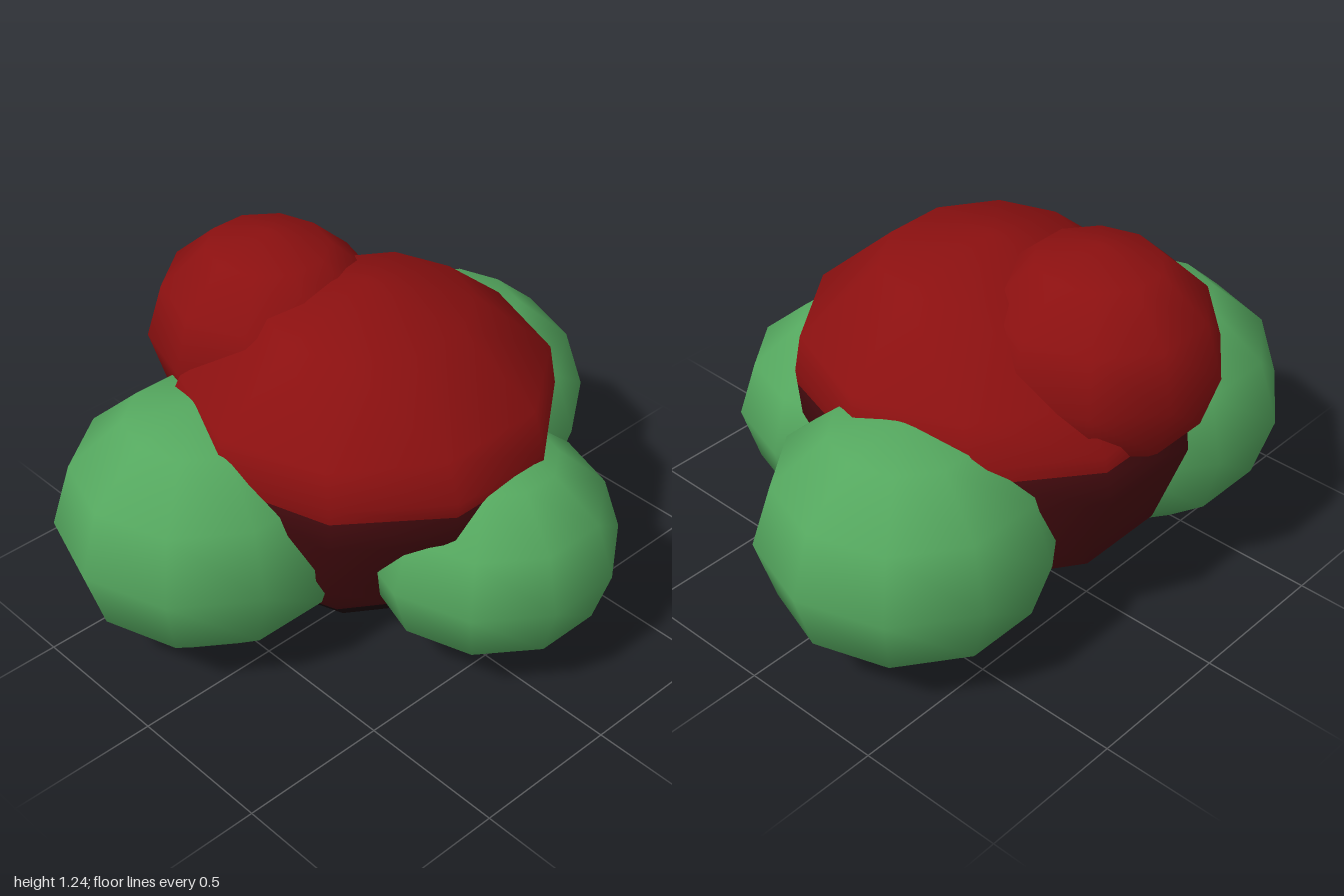
import * as THREE from 'three';
import { mergeVertices } from 'three/addons/utils/BufferGeometryUtils.js';

const material = (name, color) => {
  const m = new THREE.MeshStandardMaterial({ color });
  m.name = name;
  return m;
};

const SIDES = 10;

// Low-poly ellipsoid with smooth normals
function ellipsoid(name, mat, centre, radii) {
  const geometry = new THREE.SphereGeometry(1, SIDES, 6);
  geometry.scale(...radii);
  const mesh = new THREE.Mesh(geometry, mat);
  mesh.name = name;
  mesh.position.set(...centre);
  return mesh;
}

// Body from stacked ten-sided rings, with a colour for each band
function body(materials) {
  // y, x radius, z radius, z centre, colour of the band below
  const rings = [
    [1.175, 0, 0, -0.07, 0],
    [1.10, 0.34, 0.31, -0.04, 0],
    [0.88, 0.60, 0.58, -0.06, 0],
    [0.75, 0.61, 0.65, -0.08, 0],
    [0.70, 0.607, 0.653, -0.086, 1],
    [0.59, 0.60, 0.66, -0.10, 1],
    [0.29, 0.52, 0.49, -0.16, 1],
    [0.12, 0.36, 0.336, -0.095, 2],
    [0.08, 0.32, 0.30, -0.08, 2],
    [0, 0, 0, -0.07, 2],
  ];
  const rows = rings.length - 1;
  let geometry = new THREE.SphereGeometry(1, SIDES, rows);
  const p = geometry.attributes.position;
  rings.forEach(([y, rx, rz, cz], row) => {
    for (let i = 0; i <= SIDES; i++) {
      const a = ((i % SIDES) / SIDES) * Math.PI * 2;
      p.setXYZ(row * (SIDES + 1) + i, -Math.cos(a) * rx, y, cz + Math.sin(a) * rz);
    }
  });
  geometry.deleteAttribute('uv');
  geometry.deleteAttribute('normal');
  geometry = mergeVertices(geometry, 1e-4);
  geometry.computeVertexNormals();
  geometry.clearGroups();
  let start = 0;
  for (let row = 0; row < rows; row++) {
    const count = (row === 0 || row === rows - 1 ? 3 : 6) * SIDES;
    geometry.addGroup(start, count, rings[row][4]);
    start += count;
  }
  const mesh = new THREE.Mesh(geometry, materials);
  mesh.name = 'body';
  return mesh;
}

export function createModel() {
  const red = material('red', 0x8b1010);
  const darkRed = material('dark red', 0x4a0c10);
  const blackRed = material('blackish red', 0x1c070a);
  const green = material('green', 0x55a85f);

  const model = new THREE.Group();
  model.name = 'clusterModel';
  model.add(
    body([red, darkRed, blackRed]),
    ellipsoid('upperBall', red, [-0.09, 0.88, -0.42], [0.39, 0.36, 0.41]),
    ellipsoid('rightBall', green, [-0.51, 0.44, -0.27], [0.49, 0.435, 0.485]),
    ellipsoid('leftBall', green, [0.52, 0.43, -0.21], [0.48, 0.42, 0.475]),
    ellipsoid('frontBall', green, [0.10, 0.39, 0.40], [0.42, 0.37, 0.43]),
  );
  return model;
}
